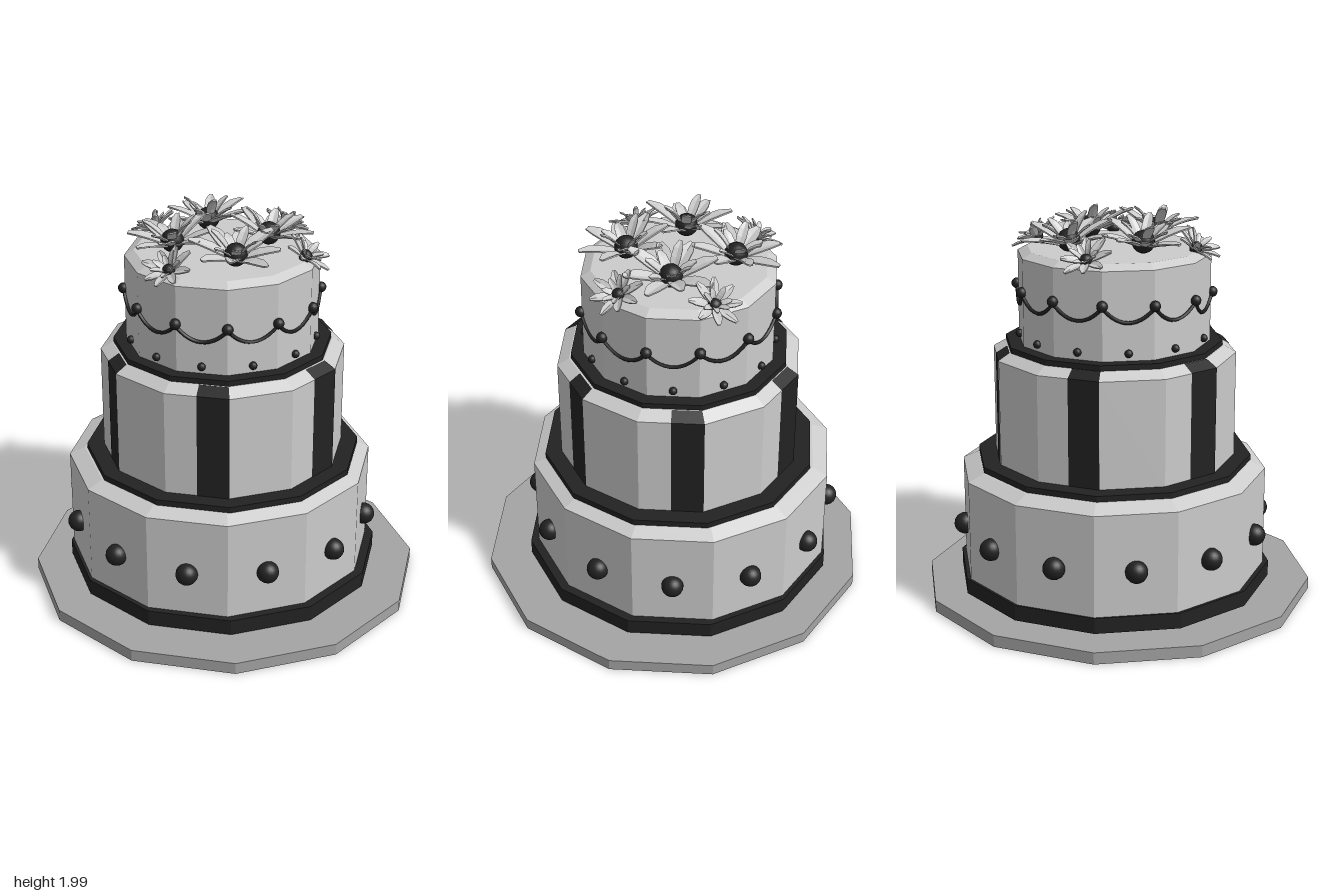
import * as THREE from 'three';

const grey = new THREE.MeshStandardMaterial({ color: 0xcccccc, flatShading: true });
const plateGrey = new THREE.MeshStandardMaterial({ color: 0xa4a4a4, flatShading: true });
const black = new THREE.MeshStandardMaterial({ color: 0x222222, flatShading: true });
const smoothBlack = new THREE.MeshStandardMaterial({ color: 0x222222 });
const SIDES = 12;

function add(parent, name, geometry, material, x = 0, y = 0, z = 0) {
  const mesh = new THREE.Mesh(geometry, material);
  mesh.name = name;
  mesh.position.set(x, y, z);
  parent.add(mesh);
  return mesh;
}

function group(parent, name, x = 0, y = 0, z = 0) {
  const g = new THREE.Group();
  g.name = name;
  g.position.set(x, y, z);
  parent.add(g);
  return g;
}

// Twelve-sided tier with a chamfered top rim
function tierGeometry(r, y0, yWall, rTop, yTop) {
  const profile = [[0, y0], [r, y0], [r, yWall], [rTop, yTop], [0, yTop]];
  return new THREE.LatheGeometry(profile.map(p => new THREE.Vector2(...p)), SIDES);
}

function disc(parent, name, r, y0, y1, material, x, z) {
  add(parent, name, new THREE.CylinderGeometry(r, r, y1 - y0, SIDES), material, x, (y0 + y1) / 2, z);
}

// Point on a circle, measured from the front towards +x
const polar = (r, a, y) => new THREE.Vector3(r * Math.sin(a), y, r * Math.cos(a));

// Row of beads around a tier
function beadRing(parent, name, beadRadius, r, y, offset, segments) {
  const geometry = new THREE.SphereGeometry(beadRadius, segments, Math.round(segments * 0.7));
  for (let i = 0; i < SIDES; i++) {
    const p = polar(r, (i + offset) * Math.PI / 6, y);
    add(parent, name, geometry, smoothBlack, p.x, p.y, p.z);
  }
}

// Dark panel over half a facet, following the wall and the chamfer
function stripeGeometry(profile, angle) {
  const g = new THREE.PlaneGeometry(1, 1, 1, profile.length - 1);
  const step = Math.PI / 12, pos = g.attributes.position;
  profile.forEach(([r, y], row) => {
    const mid = polar(r * Math.cos(step), angle, y);
    const corner = polar(r, angle + step, y);
    pos.setXYZ(row * 2, mid.x, mid.y, mid.z);
    pos.setXYZ(row * 2 + 1, corner.x, corner.y, corner.z);
  });
  g.computeVertexNormals();
  return g;
}

// Thin petal running along +z, rising by "lift" and cupped across its width
function petalGeometry(length, width, lift) {
  const g = new THREE.BoxGeometry(1, 1, 1, 2, 1, 4);
  const pos = g.attributes.position;
  const widths = [0.35, 0.75, 1, 0.9, 0.35];
  for (let i = 0; i < pos.count; i++) {
    const t = pos.getZ(i) + 0.5;
    const x = pos.getX(i) * width * widths[Math.round(t * 4)];
    const y = lift * (1.5 * t - 0.5 * t * t) + Math.abs(x) * 0.3 + pos.getY(i) * 0.008;
    pos.setXYZ(i, x, y, length * t);
  }
  g.computeVertexNormals();
  return g;
}

// Daisy with an open outer layer and a steeper inner layer of petals
function addFlower(parent, name, x, y, z, size, tilt, turn) {
  const flower = group(parent, name, x, y, z);
  const axis = new THREE.Vector3(z, 0, -x).normalize();
  flower.quaternion.setFromAxisAngle(axis, tilt);
  const layers = [
    { count: 8, length: 0.215, width: 0.075, lift: 0.085, start: 0 },
    { count: 7, length: 0.12, width: 0.05, lift: 0.12, start: 0.03 },
  ];
  layers.forEach((l, k) => {
    for (let i = 0; i < l.count; i++) {
      const vary = 1 + 0.25 * Math.sin(i * 2.4 + turn * 3 + k);
      const stretch = 1 + 0.07 * Math.sin(i * 1.9 + turn);
      const geometry = petalGeometry(l.length * size * stretch, l.width * size, l.lift * size * vary);
      const petal = add(flower, k ? 'innerPetal' : 'outerPetal', geometry, grey, 0, 0.01, 0);
      petal.rotation.y = turn + l.start + (i + k * 0.5) * Math.PI * 2 / l.count;
    }
  });
  add(flower, 'flowerCentre', new THREE.SphereGeometry(0.057 * size, 14, 10), smoothBlack, 0, 0.048 * size, 0);
}

export function createModel() {
  const cake = new THREE.Group();
  cake.name = 'tieredCake';

  // Plate
  disc(cake, 'plate', 1, 0, 0.06, plateGrey, 0, 0);

  // Bands under each tier
  disc(cake, 'bottomBand', 0.807, 0.075, 0.155, black, -0.022, -0.018);
  disc(cake, 'middleBand', 0.702, 0.705, 0.735, black, -0.022, -0.018);
  disc(cake, 'topBand', 0.548, 1.304, 1.332, black, -0.022, -0.018);

  // Bottom tier with large beads
  const bottom = group(cake, 'bottomTier', -0.04, 0, -0.02);
  add(bottom, 'bottomCake', tierGeometry(0.78, 0.08, 0.67, 0.7, 0.706), grey);
  beadRing(bottom, 'largeBead', 0.055, 0.765, 0.382, 0.5, 20);

  // Middle tier with six stripes
  const middle = group(cake, 'middleTier', -0.02, 0, -0.016);
  add(middle, 'middleCake', tierGeometry(0.615, 0.73, 1.27, 0.555, 1.305), grey);
  const stripeProfile = [[0.558, 1.307], [0.617, 1.272], [0.617, 0.735]];
  for (let i = 0; i < 6; i++) {
    add(middle, 'stripe', stripeGeometry(stripeProfile, Math.PI / 12 + i * Math.PI / 3), black);
  }

  // Top tier with dots, beads and hanging swags
  const top = group(cake, 'topTier', -0.022, 0, -0.016);
  add(top, 'topCake', tierGeometry(0.483, 1.325, 1.768, 0.435, 1.795), grey);
  beadRing(top, 'smallDot', 0.02, 0.475, 1.37, 0.5, 12);
  const trim = group(top, 'swagTrim', 0, 1.588, 0);
  trim.rotation.set(0.02, 0, -0.03);
  beadRing(trim, 'swagBead', 0.027, 0.49, 0, 0, 14);
  for (let i = 0; i < SIDES; i++) {
    const a = polar(0.489, i * Math.PI / 6, 0), b = polar(0.489, (i + 1) * Math.PI / 6, 0);
    const points = [0, 0.2, 0.4, 0.6, 0.8, 1].map(t => {
      const p = a.clone().lerp(b, t);
      p.y = -0.01 - 0.28 * t * (1 - t);
      return p;
    });
    const path = new THREE.CatmullRomCurve3(points);
    add(trim, 'swag', new THREE.TubeGeometry(path, 14, 0.009, 6), smoothBlack);
  }

  // Flowers: four large on the top, four small tipping over the rim
  const flowers = group(cake, 'flowers');
  [[-0.2, -0.21], [0.155, -0.155], [-0.205, 0.145], [0.145, 0.175]].forEach(([x, z], i) =>
    addFlower(flowers, 'largeFlower', x, 1.81, z, 1, 0.14, i * 0.8 + 0.3));
  [[0.12, -0.41], [0.385, -0.065], [-0.435, -0.095], [-0.09, 0.38]].forEach(([x, z], i) =>
    addFlower(flowers, 'smallFlower', x, 1.785, z, 0.58, 0.6, i * 0.7 + 0.2));

  return cake;
}
